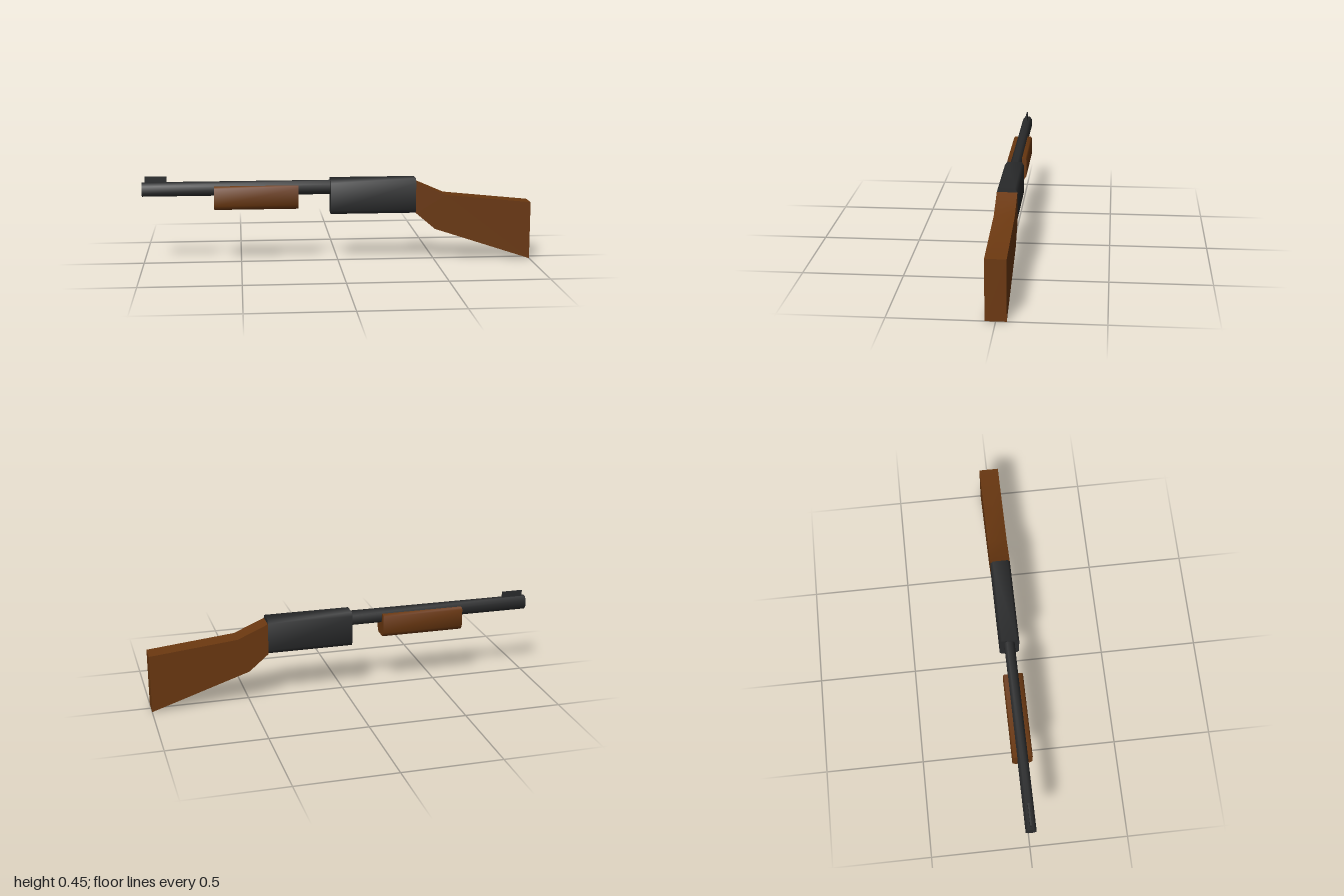
import * as THREE from 'three';
import { toCreasedNormals } from 'three/addons/utils/BufferGeometryUtils.js';

const metal = new THREE.MeshStandardMaterial({ color: 0x2a2b2c });
const wood = new THREE.MeshStandardMaterial({ color: 0x6b3810 });

function polygon(points) {
  return new THREE.Shape(points.map(([x, y]) => new THREE.Vector2(x, y)));
}

// Mirrors a half cross-section [z, y] (bottom to top) and runs it from x0 to x1.
function bar(name, half, x0, x1, material) {
  const mirrored = half.slice().reverse().map(([z, y]) => [-z, y]);
  let geometry = new THREE.ExtrudeGeometry(polygon([...half, ...mirrored]), {
    depth: x1 - x0, bevelEnabled: false,
  });
  geometry.rotateY(Math.PI / 2).translate(x0, 0, 0);
  geometry = toCreasedNormals(geometry, 1.1);
  const mesh = new THREE.Mesh(geometry, material);
  mesh.name = name;
  return mesh;
}

export function createModel() {
  const group = new THREE.Group();
  group.name = 'pumpActionGun';

  // Barrel: tall, chamfered tube
  group.add(bar('barrel',
    [[0.013, 0.35], [0.026, 0.367], [0.026, 0.403], [0.013, 0.42]], -1, -0.03, metal));

  // Sliding grip under the barrel
  group.add(bar('foreGrip',
    [[0.036, 0.28], [0.05, 0.302], [0.05, 0.39], [0.044, 0.4]], -0.635, -0.205, wood));

  // Receiver block with chamfered long edges
  group.add(bar('receiver',
    [[0.038, 0.25], [0.05, 0.27], [0.05, 0.41], [0.038, 0.43]], -0.04, 0.4, metal));

  // Thin front sight blade
  const sight = new THREE.Mesh(new THREE.BoxGeometry(0.11, 0.035, 0.008), metal);
  sight.name = 'frontSight';
  sight.position.set(-0.93, 0.4325, 0);
  group.add(sight);

  // Shoulder stock: side profile given a constant thickness
  const profile = polygon([
    [0.4, 0.25], [0.5, 0.165], [1, 0], [1, 0.298], [0.555, 0.343], [0.4, 0.41],
  ]);
  const stockGeometry = new THREE.ExtrudeGeometry(profile, { depth: 0.1, bevelEnabled: false });
  stockGeometry.translate(0, 0, -0.05);
  const stock = new THREE.Mesh(toCreasedNormals(stockGeometry, 0.7), wood);
  stock.name = 'stock';
  group.add(stock);

  return group;
}
